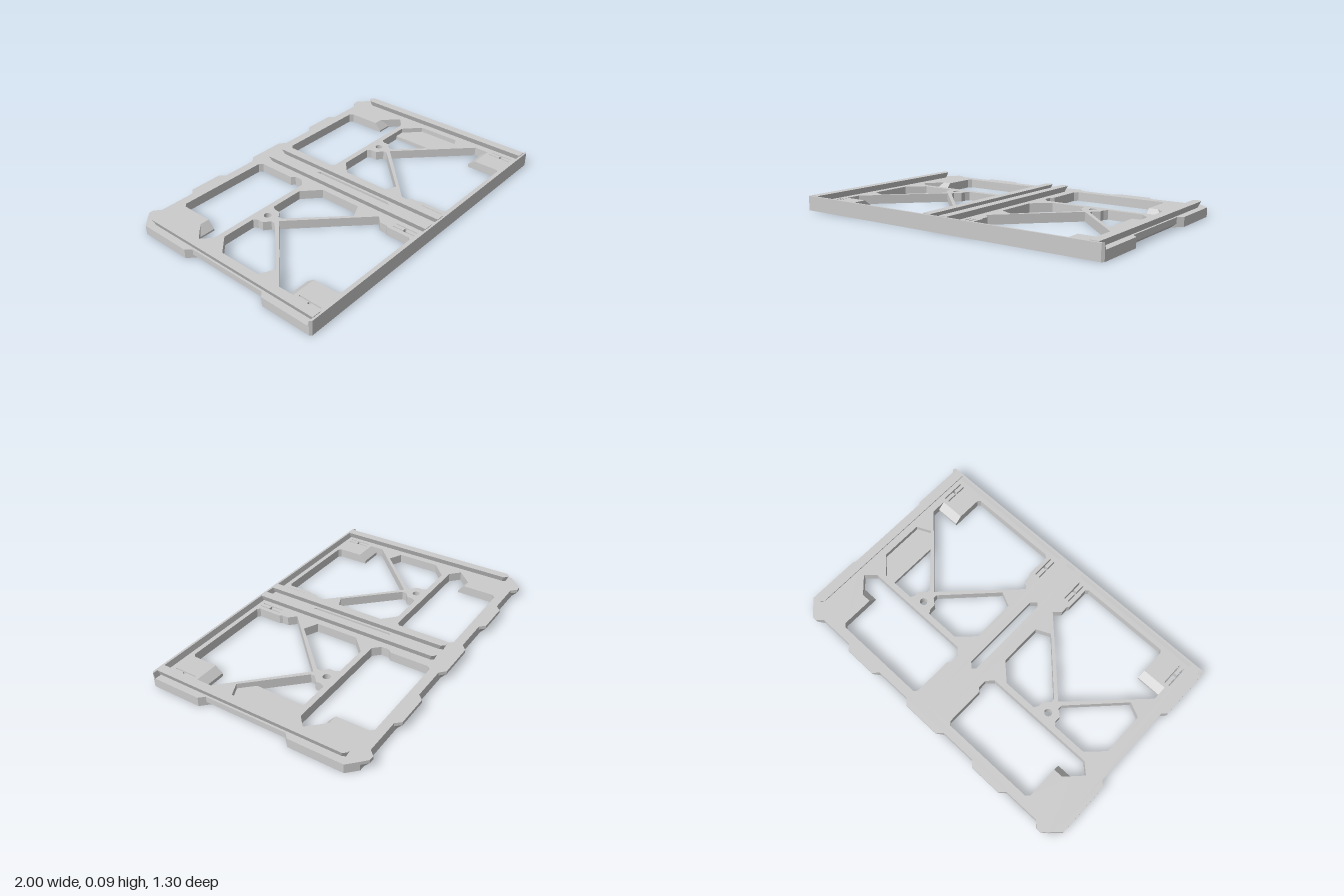
import * as THREE from 'three';

const material = new THREE.MeshStandardMaterial({ color: 0xcccccc, flatShading: true });
const SPLIT = 0.02, TOP = 0.055, LIP_TOP = 0.088, RAIL_TOP = 0.092;

// plan points are [x, z]
const toVectors = pts => pts.map(([x, z]) => new THREE.Vector2(x, -z));
const mirror = pts => pts.map(([x, z]) => [-x, z]).reverse();

// Plan outline, always counter-clockwise so that walls and holes face outwards
function outline(pts) {
  const v = toVectors(pts);
  return new THREE.Shape(THREE.ShapeUtils.isClockWise(v) ? v.reverse() : v);
}

// Upright prism from a plan shape, with an optional rule moving its vertices
function slab(shape, y0, y1, rule) {
  const geo = new THREE.ExtrudeGeometry(shape, { depth: y1 - y0, bevelEnabled: false, curveSegments: 12 });
  geo.rotateX(-Math.PI / 2).translate(0, y0, 0);
  if (rule) {
    const p = geo.attributes.position, v = new THREE.Vector3();
    for (let i = 0; i < p.count; i++) {
      v.fromBufferAttribute(p, i);
      rule(v);
      p.setXYZ(i, v.x, v.y, v.z);
    }
  }
  geo.computeVertexNormals();
  return geo;
}

// Openings in the right-hand (+x) half of the frame
const rearWindow = [
  [0.15, -0.565], [0.72, -0.565], [0.74, -0.545], [0.74, -0.35], [0.797, -0.35], [0.837, -0.31],
  [0.89, -0.255], [0.83, -0.2], [0.15, -0.2], [0.11, -0.24], [0.11, -0.29], [0.13, -0.31], [0.13, -0.545],
];
const sideTriangle = [
  [0.21, -0.165], [0.42, -0.165], [0.435, -0.14], [0.435, -0.105], [0.472, -0.075],
  [0.472, -0.05], [0.195, 0.235], [0.11, 0.195], [0.11, -0.07],
];
const frontWindow = [
  [0.5, -0.045], [0.89, 0.345], [0.89, 0.435], [0.74, 0.435], [0.74, 0.585], [0.725, 0.6],
  [0.175, 0.6], [0.16, 0.585], [0.16, 0.44], [0.15, 0.425], [0.15, 0.385], [0.11, 0.345],
];
// H-shaped spring clip cut-outs
const clipSlot = c => [
  [-0.018, 0.46], [-0.011, 0.46], [-0.011, 0.525], [0.011, 0.525], [0.011, 0.46], [0.018, 0.46],
  [0.018, 0.6], [0.011, 0.6], [0.011, 0.54], [-0.011, 0.54], [-0.011, 0.6], [-0.018, 0.6],
].map(([x, z]) => [c + x, z]);
const halfOpenings = [
  rearWindow, sideTriangle, sideTriangle.map(([x, z]) => [1 - x, z]), frontWindow,
  clipSlot(0.117), clipSlot(0.887),
];

function plateShape() {
  const half = [
    [0.945, -0.62], [1, -0.565], [1, -0.24], [0.97, -0.21],
    [0.97, 0.3], [1, 0.33], [1, 0.638], [0.988, 0.65],
  ];
  const shape = outline([...half, ...mirror(half)]);
  const holes = halfOpenings.flatMap(h => [h, mirror(h)]);
  // slot between the two halves
  holes.push([[0, -0.24], [0.03, -0.21], [0.03, 0.3], [0, 0.33], [-0.03, 0.3], [-0.03, -0.21]]);
  shape.holes = holes.map(h => new THREE.Path(toVectors(h)));
  // round screw holes where the struts meet
  for (const x of [-0.5, 0.5]) {
    shape.holes.push(new THREE.Path().absarc(x, 0.132, 0.022, 0, Math.PI * 2, true));
  }
  return shape;
}

export function createModel() {
  const group = new THREE.Group();
  const add = (name, geo) => {
    const mesh = new THREE.Mesh(geo, material);
    mesh.name = name;
    group.add(mesh);
  };

  // Frame plate; the lower layer is chamfered along the side recesses and slot
  const plate = plateShape();
  add('framePlateUpper', slab(plate, SPLIT, TOP));
  add('framePlateLower', slab(plate, 0, SPLIT, v => {
    if (v.y > 0.001) return;
    const ax = Math.abs(v.x), s = Math.sign(v.x);
    const side = Math.abs(ax - 0.97) < 0.001, slot = Math.abs(ax - 0.03) < 0.001;
    if (!side && !slot) return;
    v.x = s * (side ? 0.948 : 0.052);
    v.z -= 0.022 * Math.sign(v.z);
  }));

  // Rear tabs with chamfered undersides
  const tabs = [
    [-0.15, -0.115, 0.115, 0.15], [0.37, 0.4, 0.6, 0.63], [-0.63, -0.6, -0.4, -0.37],
    [0.85, 0.88, 0.91, 0.945], [-0.945, -0.91, -0.88, -0.85],
  ];
  for (const [a, b, c, d] of tabs) {
    const shape = outline([[a, -0.62], [b, -0.652], [c, -0.652], [d, -0.62]]);
    add('rearTab', slab(shape, 0.035, TOP));
    add('rearTabChamfer', slab(shape, 0, 0.035, v => {
      if (v.y < 0.001) v.z = Math.max(v.z, -0.6205);
    }));
  }

  // Dovetail rails with pointed rear ends
  for (const c of [-0.946, -0.057, 0.057, 0.946]) {
    const w = 0.027;
    const shape = outline([
      [c - w, 0.638], [c - w, -0.54], [c - 0.008, -0.56], [c + 0.008, -0.56], [c + w, -0.54], [c + w, 0.638],
    ]);
    add('rail', slab(shape, TOP, RAIL_TOP, v => {
      if (v.y > TOP + 0.001) return;
      v.x = c + (v.x - c) * 0.45;
      if (v.z < 0) v.z += 0.015;
    }));
  }

  // Front lip, leaning back to a thinner top edge
  const lip = [[1, 0.628], [1, 0.638], [0.988, 0.65]];
  add('frontLip', slab(outline([...lip, ...mirror(lip)]), TOP, LIP_TOP, v => {
    if (v.y > TOP + 0.001 && v.z < 0.63) v.z = 0.637;
  }));

  // Sloped ends of the corner pads
  const rearPad = [[0.74, -0.35], [0.797, -0.35], [0.837, -0.31], [0.74, -0.31]];
  const frontPad = [[0.74, 0.39], [0.89, 0.39], [0.89, 0.435], [0.74, 0.435]];
  for (const turn of [pts => pts, mirror]) {
    add('rearPadRamp', slab(outline(turn(rearPad)), 0, TOP, v => {
      if (v.y > 0.001 && v.z > -0.32) v.y = 0.01;
    }));
    add('frontPadRamp', slab(outline(turn(frontPad)), 0, TOP, v => {
      if (v.y > 0.001 && v.z < 0.4) v.y = 0.02;
    }));
  }

  // Thin label panel in one side opening
  add('labelPanel', slab(outline([
    [0.73, -0.165], [0.79, -0.165], [0.89, -0.07], [0.89, 0.195], [0.805, 0.235], [0.73, 0.158],
  ]), 0, 0.025));

  return group;
}
